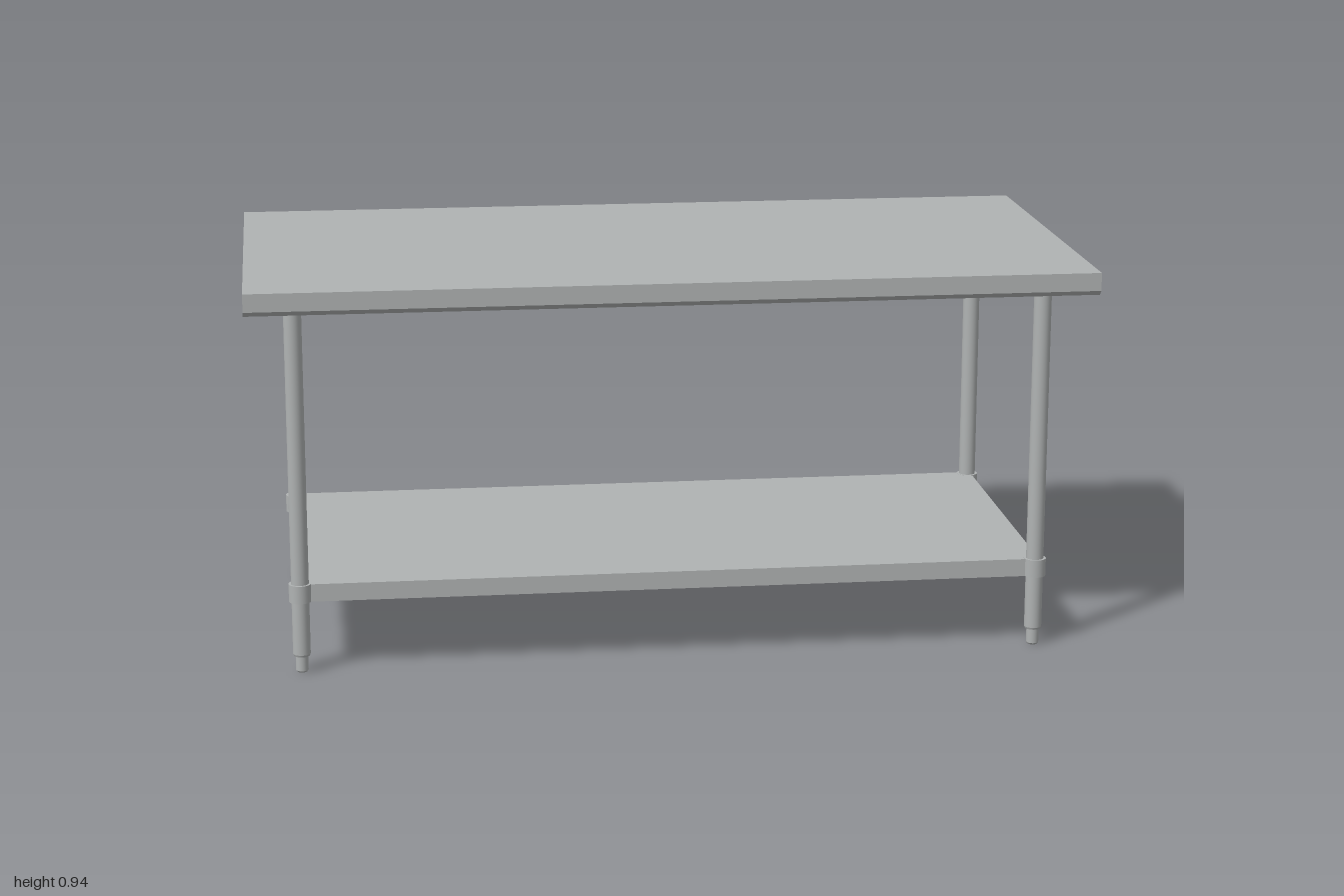
import * as THREE from 'three';

export function createModel() {
  const steel = new THREE.MeshStandardMaterial({ color: 0xb0b3b3 });
  steel.name = 'steel';
  const model = new THREE.Group();
  model.name = 'workTable';

  const add = (parent, name, geometry, x = 0, y = 0, z = 0) => {
    const mesh = new THREE.Mesh(geometry, steel);
    mesh.name = name;
    mesh.position.set(x, y, z);
    parent.add(mesh);
    return mesh;
  };
  const box = (parent, name, w, h, d, x, y, z) =>
    add(parent, name, new THREE.BoxGeometry(w, h, d), x, y, z);
  // Upright round piece given by its bottom and top heights
  const tube = (parent, name, rBottom, rTop, y0, y1) =>
    add(parent, name, new THREE.CylinderGeometry(rTop, rBottom, y1 - y0, 32), 0, (y0 + y1) / 2, 0);
  // Cross-section in (z, y), run along x and centred
  const section = (points, length) => {
    const shape = new THREE.Shape(points.map(([z, y]) => new THREE.Vector2(z, y)));
    const geometry = new THREE.ExtrudeGeometry(shape, { depth: length, bevelEnabled: false });
    return geometry.translate(0, 0, -length / 2).rotateY(Math.PI / 2);
  };
  const mirrored = (half) => [...half, ...half.map(([z, y]) => [-z, y]).reverse()];

  // Tabletop: folded sheet with angled lower edges and short return lips
  const top = new THREE.Group();
  top.name = 'tabletop';
  model.add(top);
  const folded = mirrored([
    [0.46, 0.937], [0.493, 0.937], [0.493, 0.905], [0.484, 0.896], [0.47, 0.896],
    [0.47, 0.89], [0.487, 0.89], [0.5, 0.902], [0.5, 0.945],
  ]);
  add(top, 'topSheet', section(folded, 1.988));
  const endShape = mirrored([[0.487, 0.89], [0.5, 0.902], [0.5, 0.945]]);
  for (const s of [-1, 1]) add(top, 'endSkirt', section(endShape, 0.006), s * 0.997);

  // Stiffening channels under the top, in line with the legs
  for (const s of [-1, 1]) {
    const hat = [[-0.065, 0.937], [-0.05, 0.892], [0.05, 0.892], [0.065, 0.937]];
    add(top, 'stiffeningChannel', section(hat, 1.9), 0, 0, s * 0.39);
  }

  // Lower shelf: shallow pan open underneath
  const shelf = new THREE.Group();
  shelf.name = 'lowerShelf';
  model.add(shelf);
  const sx = 0.897, sz = 0.397, wall = 0.006;
  box(shelf, 'shelfSheet', sx * 2, wall, sz * 2, 0, 0.215, 0);
  for (const s of [-1, 1]) {
    box(shelf, 'longSkirt', sx * 2, 0.037, wall, 0, 0.1935, s * (sz - wall / 2));
    box(shelf, 'shortSkirt', wall, 0.037, (sz - wall) * 2, s * (sx - wall / 2), 0.1935, 0);
  }

  // Legs with top collar, shelf sleeve and adjustable foot
  for (const x of [-0.888, 0.888]) {
    for (const z of [-0.388, 0.388]) {
      const leg = new THREE.Group();
      leg.name = 'leg';
      leg.position.set(x, 0, z);
      model.add(leg);
      tube(leg, 'legTube', 0.021, 0.021, 0.045, 0.892);
      tube(leg, 'legRim', 0.019, 0.021, 0.04, 0.045);
      tube(leg, 'topCollar', 0.024, 0.024, 0.874, 0.892);
      tube(leg, 'shelfSleeve', 0.027, 0.027, 0.175, 0.2185);
      tube(leg, 'foot', 0.015, 0.015, 0.004, 0.041);
      tube(leg, 'footTip', 0.012, 0.015, 0, 0.004);
      // Diagonal corner bracket under the shelf
      const bracket = box(leg, 'cornerBracket', 0.09, 0.03, 0.005,
        -Math.sign(x) * 0.028, 0.197, -Math.sign(z) * 0.028);
      bracket.rotation.y = Math.sign(x * z) * Math.PI / 4;
    }
  }
  return model;
}
